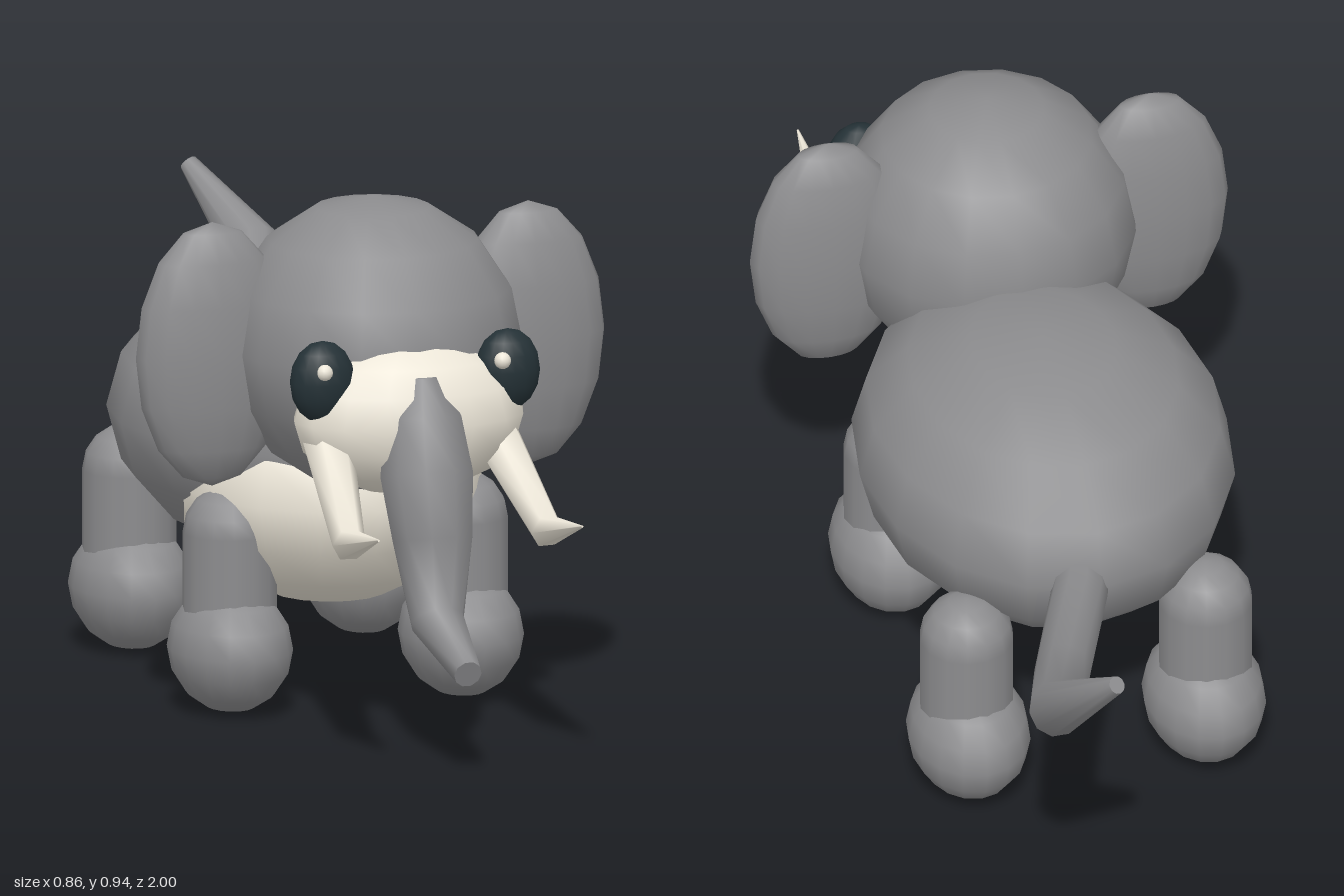
import * as THREE from 'three';

const paint = (color) => new THREE.MeshStandardMaterial({ color });

// Swept round form: each point is [x, y, z, radius]; ends are capped.
function taperedTube(points, sides) {
  const pos = [], index = [];
  const centres = points.map(([x, y, z]) => new THREE.Vector3(x, y, z));
  const last = centres.length - 1;
  centres.forEach((c, i) => {
    const before = c.clone().sub(centres[Math.max(i - 1, 0)]).normalize();
    const after = centres[Math.min(i + 1, last)].clone().sub(c).normalize();
    const t = before.add(after).normalize();
    const u = new THREE.Vector3(1, 0, 0).addScaledVector(t, -t.x).normalize();
    const v = t.clone().cross(u);
    for (let j = 0; j < sides; j++) {
      const a = (j / sides) * Math.PI * 2, r = points[i][3];
      const p = c.clone().addScaledVector(u, Math.cos(a) * r).addScaledVector(v, Math.sin(a) * r);
      pos.push(p.x, p.y, p.z);
    }
  });
  for (let i = 0; i < last; i++) {
    for (let j = 0; j < sides; j++) {
      const a = i * sides + j, b = i * sides + ((j + 1) % sides);
      index.push(a, b, a + sides, b, b + sides, a + sides);
    }
  }
  // Separate cap vertices keep the rim sharp
  for (const end of [0, last]) {
    const base = pos.length / 3;
    pos.push(...pos.slice(end * sides * 3, (end + 1) * sides * 3), ...centres[end].toArray());
    for (let j = 0; j < sides; j++) {
      const a = base + j, b = base + ((j + 1) % sides), c = base + sides;
      if (end) index.push(a, b, c);
      else index.push(b, a, c);
    }
  }
  const geo = new THREE.BufferGeometry();
  geo.setAttribute('position', new THREE.Float32BufferAttribute(pos, 3));
  geo.setIndex(index);
  geo.computeVertexNormals();
  return geo;
}

export function createModel() {
  const model = new THREE.Group();
  model.name = 'elephant';
  const grey = paint(0x8c8c8e), cream = paint(0xece6d8), dark = paint(0x243136);
  const ball = new THREE.SphereGeometry(1, 16, 8);

  const add = (name, geo, mat) => {
    const mesh = new THREE.Mesh(geo, mat);
    mesh.name = name;
    model.add(mesh);
    return mesh;
  };
  const ellipsoid = (name, mat, centre, radii) => {
    const mesh = add(name, ball, mat);
    mesh.position.set(...centre);
    mesh.scale.set(...radii);
    return mesh;
  };

  // Body and head
  ellipsoid('body', grey, [0, 0.47, 0], [0.33, 0.25, 0.415]);
  ellipsoid('belly', cream, [0, 0.38, 0.15], [0.27, 0.212, 0.29]);
  ellipsoid('head', grey, [0, 0.675, 0.4], [0.263, 0.262, 0.262]);
  ellipsoid('muzzle', cream, [0, 0.585, 0.6], [0.21, 0.138, 0.13]);

  // Trunk, curling forward at the tip
  add('trunk', taperedTube([
    [0, 0.67, 0.675, 0.03], [0, 0.6, 0.68, 0.07], [0, 0.5, 0.7, 0.085],
    [0, 0.39, 0.733, 0.073], [0, 0.25, 0.76, 0.048], [0, 0.19, 0.93, 0.025],
  ], 10), grey);

  // Tail, swinging to the left and up
  add('tail', taperedTube([
    [0.02, 0.46, -0.34, 0.05], [0.04, 0.46, -0.41, 0.05], [0.125, 0.475, -0.63, 0.05],
    [0.195, 0.575, -0.86, 0.05], [0.118, 0.705, -0.985, 0.016],
  ], 10), grey);

  for (const s of [1, -1]) {
    const side = s > 0 ? 'left' : 'right';
    ellipsoid(side + 'Ear', grey, [s * 0.29, 0.67, 0.385], [0.14, 0.235, 0.063]);
    ellipsoid(side + 'Eye', dark, [s * 0.17, 0.663, 0.635], [0.059, 0.073, 0.042]);
    ellipsoid(side + 'EyeGlint', cream, [s > 0 ? 0.15 : -0.177, 0.686, 0.668], [0.015, 0.015, 0.015]);

    add(side + 'Tusk', taperedTube([
      [s * 0.152, 0.55, 0.61, 0.045], [s * 0.182, 0.41, 0.82, 0.03], [s * 0.187, 0.455, 1, 0.002],
    ], 6), cream);

    // Legs with rounded feet
    for (const [end, z, x] of [['Front', 0.248, 0.212], ['Back', -0.302, 0.215]]) {
      const leg = add(side + end + 'Leg', new THREE.CapsuleGeometry(0.083, 0.17, 4, 14), grey);
      leg.position.set(s * x, 0.235, z);
      ellipsoid(side + end + 'Foot', grey, [s * 0.212, 0.114, z], [0.107, 0.113, 0.137]);
    }
  }
  return model;
}
